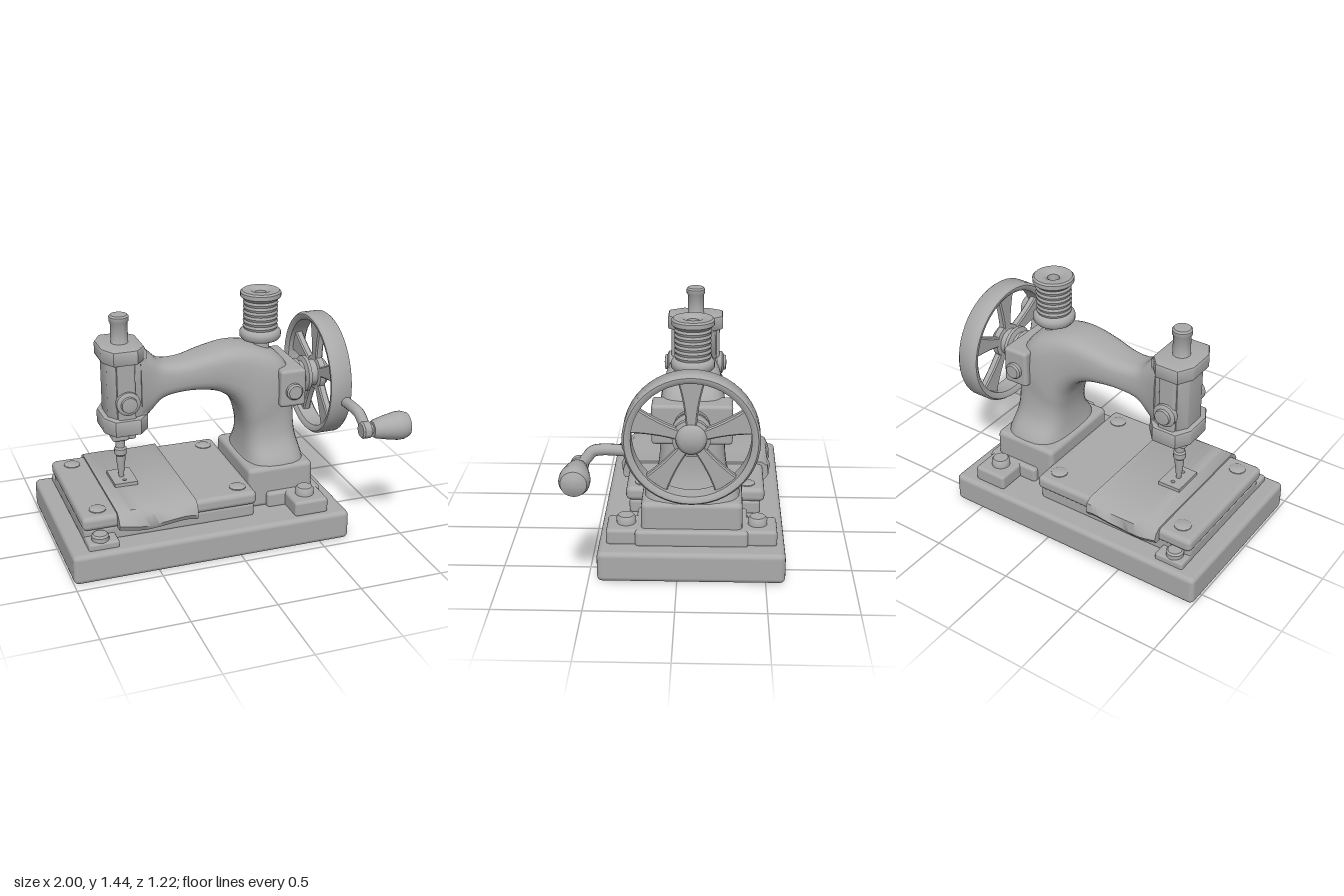
import * as THREE from 'three';
import { toCreasedNormals } from 'three/addons/utils/BufferGeometryUtils.js';
import { RoundedBoxGeometry } from 'three/addons/geometries/RoundedBoxGeometry.js';

const metal = new THREE.MeshStandardMaterial({ color: 0xaaaaaa });
metal.name = 'grey metal';
const CZ = -0.08; // depth of the machine's centre line

export function createModel() {
  const model = new THREE.Group();
  model.name = 'sewingMachine';

  const add = (name, geometry, x = 0, y = 0, z = 0) => {
    const mesh = new THREE.Mesh(geometry, metal);
    mesh.name = name;
    mesh.position.set(x, y, z);
    model.add(mesh);
    return mesh;
  };
  // Rounded box given by its extents
  const box = (name, x0, x1, y0, y1, z0, z1, r = 0.02) =>
    add(name, new RoundedBoxGeometry(x1 - x0, y1 - y0, z1 - z0, 2, r),
      (x0 + x1) / 2, (y0 + y1) / 2, (z0 + z1) / 2);
  // Turned part from [radius, height] pairs, running along the chosen axis
  const turned = (name, profile, x, y, z, axis = 'y', sign = 1, sides = 32) => {
    const points = profile.map(([r, h]) => new THREE.Vector2(r, h));
    const mesh = add(name, toCreasedNormals(new THREE.LatheGeometry(points, sides), 0.7), x, y, z);
    if (axis === 'x') mesh.rotation.z = -Math.PI / 2;
    if (axis === 'z') mesh.rotation.x = sign * Math.PI / 2;
    return mesh;
  };
  // Closed solid through a row of equal-sized rings
  const loft = (rings) => {
    const n = rings[0].length, last = (rings.length - 1) * n;
    const index = [];
    for (let i = 0; i < rings.length - 1; i++) for (let j = 0; j < n; j++) {
      const a = i * n + j, b = i * n + (j + 1) % n;
      index.push(a, b, a + n, b, b + n, a + n);
    }
    for (let j = 1; j < n - 1; j++) index.push(0, j + 1, j, last, last + j, last + j + 1);
    const p = rings.flat();
    let volume = 0;
    for (let i = 0; i < index.length; i += 3)
      volume += p[index[i]].dot(p[index[i + 1]].clone().cross(p[index[i + 2]]));
    if (volume < 0) index.reverse();
    const g = new THREE.BufferGeometry().setFromPoints(p);
    g.setIndex(index);
    return toCreasedNormals(g, 0.7);
  };
  // Vertical prism from half of a plan outline, mirrored about the centre line
  const prism = (name, half, y0, y1) => {
    const b = 0.015;
    const outline = [...half, ...half.map(([x, z]) => [x, -z]).reverse()];
    const g = new THREE.ExtrudeGeometry(new THREE.Shape(outline.map(([x, z]) => new THREE.Vector2(x, z))),
      { depth: y1 - y0 - 2 * b, bevelSize: b, bevelThickness: b, bevelOffset: -b, bevelSegments: 2 });
    g.rotateX(-Math.PI / 2);
    return add(name, toCreasedNormals(g, 0.6), 0, y0 + b, CZ);
  };
  const bolt = (r, h) => [[0, h], [r * 0.8, h], [r, h * 0.75], [r, 0]].reverse();

  // Base and bed
  box('base', -1, 0.68, 0, 0.18, -0.61, 0.45, 0.03);
  box('bedLower', -0.9, 0.13, 0.17, 0.26, -0.48, 0.3, 0.02);
  box('bedPlate', -0.91, 0.14, 0.255, 0.34, -0.505, 0.32, 0.03);
  for (const x of [-0.8, 0.05]) for (const z of [-0.4, 0.22])
    turned('bedScrew', bolt(0.05, 0.02), x, 0.33, z, 'y', 1, 12);
  for (const s of [-1, 1]) {
    const z = CZ + s * 0.42;
    box('cornerTab', -0.9, -0.72, 0.17, 0.22, z - 0.065, z + 0.065, 0.015);
    turned('cornerTabBolt', bolt(0.05, 0.045), -0.82, 0.21, z + s * 0.01);
  }

  // Cloth draped over the bed, with a wavy hem
  const clothRings = [];
  for (let i = 0; i <= 16; i++) {
    const t = i / 16, x = -0.71 + 0.47 * t;
    const hem = 0.245 + 0.014 * Math.cos(t * 8), wave = 0.008 * Math.sin(t * 11);
    const top = 0.352 + 0.003 * Math.sin(t * 7);
    clothRings.push([[0.36 + wave, hem], [0.375 + wave, hem + 0.03], [0.355, 0.325], [0.32, top],
      [-0.5, top], [-0.535, 0.33], [-0.55 - wave, hem + 0.03], [-0.53 - wave, hem]]
      .map(([z, y]) => new THREE.Vector3(x, y, z)));
  }
  add('cloth', loft(clothRings));

  // Needle plate with two holes
  const plate = new THREE.Shape([[-0.07, -0.1], [0.07, -0.1], [0.07, 0.1], [-0.07, 0.1]]
    .map(([x, y]) => new THREE.Vector2(x, y)));
  for (const s of [-1, 1]) plate.holes.push(new THREE.Path().absarc(0, s * 0.055, 0.012, 0, Math.PI * 2));
  add('needlePlate', new THREE.ExtrudeGeometry(plate, { depth: 0.025, bevelEnabled: false })
    .rotateX(-Math.PI / 2), -0.57, 0.35, CZ);

  // Column foot, flange and bolted lugs
  box('columnFoot', 0.13, 0.54, 0.17, 0.425, CZ - 0.287, CZ + 0.287, 0.03);
  box('footFlange', 0.24, 0.58, 0.17, 0.27, CZ - 0.32, CZ + 0.32, 0.02);
  for (const s of [-1, 1]) {
    const z = CZ + s * 0.375;
    box('footLug', 0.35, 0.56, 0.17, 0.268, z - 0.11, z + 0.11, 0.02);
    turned('footBolt', bolt(0.055, 0.055), 0.45, 0.26, z);
  }

  // Arm and column: [outer x, y, half width, inner x, y] along the bend
  const bend = [
    [-0.47, 1.2, 0.13, -0.47, 0.73], [-0.4, 1.15, 0.11, -0.4, 0.79], [-0.33, 1.09, 0.105, -0.33, 0.86],
    [-0.2, 1.08, 0.12, -0.22, 0.89], [-0.05, 1.115, 0.14, -0.1, 0.89], [0.1, 1.14, 0.155, 0, 0.87],
    [0.25, 1.12, 0.17, 0.08, 0.82], [0.4, 1.05, 0.185, 0.13, 0.75], [0.465, 0.93, 0.19, 0.155, 0.68],
    [0.48, 0.75, 0.185, 0.17, 0.6], [0.49, 0.58, 0.205, 0.17, 0.52], [0.525, 0.44, 0.265, 0.16, 0.44],
    [0.535, 0.39, 0.28, 0.145, 0.39]];
  const outer = new THREE.CatmullRomCurve3(bend.map((b) => new THREE.Vector3(b[0], b[1], b[2])));
  const inner = new THREE.CatmullRomCurve3(bend.map((b) => new THREE.Vector3(b[3], b[4], 0)));
  const soft = (v) => Math.sign(v) * Math.abs(v) ** 0.62;
  const armRings = [];
  for (let i = 0; i <= 48; i++) {
    const o = outer.getPoint(i / 48), n = inner.getPoint(i / 48), ring = [];
    for (let j = 0; j < 28; j++) {
      const a = j / 28 * Math.PI * 2, k = (soft(Math.cos(a)) + 1) / 2;
      ring.push(new THREE.Vector3(n.x + (o.x - n.x) * k, n.y + (o.y - n.y) * k, CZ + o.z * soft(Math.sin(a))));
    }
    armRings.push(ring);
  }
  add('arm', loft(armRings));

  // Head with collars, side panels and knobs
  prism('headBody', [[-0.66, 0.07], [-0.62, 0.13], [-0.5, 0.13], [-0.43, 0.1]], 0.72, 1.2);
  prism('headTopCollar', [[-0.69, 0.08], [-0.64, 0.17], [-0.5, 0.17], [-0.44, 0.1]], 1.13, 1.22);
  prism('headBottomCollar', [[-0.69, 0.08], [-0.64, 0.17], [-0.49, 0.17], [-0.43, 0.1]], 0.7, 0.8);
  for (const s of [-1, 1]) {
    const z = CZ + s * 0.12;
    box('headPanel', -0.615, -0.51, 0.78, 1.15, z - 0.03, z + 0.03, 0.015);
    turned('headKnob', [[0.07, 0], [0.07, 0.03], [0.055, 0.04], [0.048, 0.04], [0.045, 0.055], [0, 0.06]],
      -0.56, 0.9, CZ + s * 0.135, 'z', s);
  }
  turned('headPost', [[0.065, 0], [0.05, 0.02], [0.05, 0.14], [0.057, 0.15], [0.057, 0.175], [0.048, 0.185], [0, 0.185]],
    -0.56, 1.2, CZ);

  // Needle bar, clamp, needle and presser block
  box('needleBarGuide', -0.63, -0.53, 0.62, 0.72, CZ - 0.05, CZ + 0.05, 0.015);
  box('presserBlock', -0.55, -0.485, 0.62, 0.72, CZ - 0.04, CZ + 0.04, 0.015);
  turned('needle', [[0, 0], [0.014, 0], [0.028, 0.12], [0.028, 0.145], [0.037, 0.155], [0.037, 0.19],
    [0.028, 0.2], [0.028, 0.34]], -0.575, 0.37, CZ, 'y', 1, 16);

  // Thread spool with a hollow top
  const thread = Array.from({ length: 13 }, (_, i) => [0.098 + (i % 2) * 0.006, 0.165 + i * 0.0145]);
  turned('spool', [[0.075, -0.02], [0.055, 0.03], [0.055, 0.1], [0.11, 0.1], [0.122, 0.115], [0.122, 0.145],
    [0.11, 0.16], ...thread, [0.11, 0.35], [0.12, 0.36], [0.12, 0.385], [0.11, 0.395], [0.06, 0.395],
    [0.035, 0.38], [0.03, 0.3], [0, 0.3]], 0.3, 1.045, CZ);

  // Wheel bearing block with bolts on both sides
  box('bearingBlock', 0.35, 0.51, 0.77, 1.0, CZ - 0.225, CZ + 0.225, 0.02);
  for (const s of [-1, 1]) turned('bearingBolt', bolt(0.05, 0.04), 0.43, 0.87, CZ + s * 0.215, 'z', s);

  // Hand wheel
  const WY = 0.88;
  turned('axle', [[0.1, 0], [0.1, 0.05], [0.08, 0.06], [0.08, 0.08], [0.11, 0.09], [0.11, 0.11], [0.08, 0.12],
    [0.08, 0.16], [0.105, 0.165], [0.105, 0.2], [0.085, 0.205], [0.08, 0.225], [0.06, 0.24], [0, 0.245]],
  0.49, WY, CZ, 'x');
  turned('wheelRim', [[0.325, 0.015], [0.345, 0], [0.36, 0], [0.372, 0.015], [0.372, 0.115], [0.36, 0.13],
    [0.345, 0.13], [0.325, 0.115], [0.325, 0.015]], 0.61, WY, CZ, 'x', 1, 48);
  const spoke = new THREE.Shape();
  spoke.moveTo(-0.03, 0.07);
  spoke.lineTo(0.03, 0.07);
  spoke.quadraticCurveTo(0.035, 0.2, 0.075, 0.33);
  spoke.lineTo(-0.075, 0.33);
  spoke.quadraticCurveTo(-0.035, 0.2, -0.03, 0.07);
  const spokeGeometry = new THREE.ExtrudeGeometry(spoke, { depth: 0.03, curveSegments: 6, bevelSize: 0.008,
    bevelThickness: 0.008, bevelOffset: -0.008, bevelSegments: 1 }).rotateY(Math.PI / 2);
  for (let i = 0; i < 5; i++)
    add('wheelSpoke', spokeGeometry, 0.66, WY, CZ).rotation.x = i * Math.PI * 2 / 5;

  // Crank and handle
  const crank = new THREE.CatmullRomCurve3([[0.705, 0.815, 0.26], [0.705, 0.82, 0.4], [0.71, 0.81, 0.45],
    [0.72, 0.77, 0.485], [0.725, 0.735, 0.525]].map((p) => new THREE.Vector3(...p)));
  add('crankArm', new THREE.TubeGeometry(crank, 24, 0.032, 12));
  turned('crankEnd', [[0, 0], [0.04, 0], [0.05, 0.01], [0.05, 0.05], [0.03, 0.06], [0.03, 0.1]],
    0.69, 0.735, 0.52, 'x');
  turned('handle', [[0, 0], [0.045, 0], [0.055, 0.015], [0.07, 0.08], [0.083, 0.15], [0.083, 0.185],
    [0.07, 0.22], [0.04, 0.235], [0, 0.24]], 0.76, 0.735, 0.525, 'x');

  return model;
}
